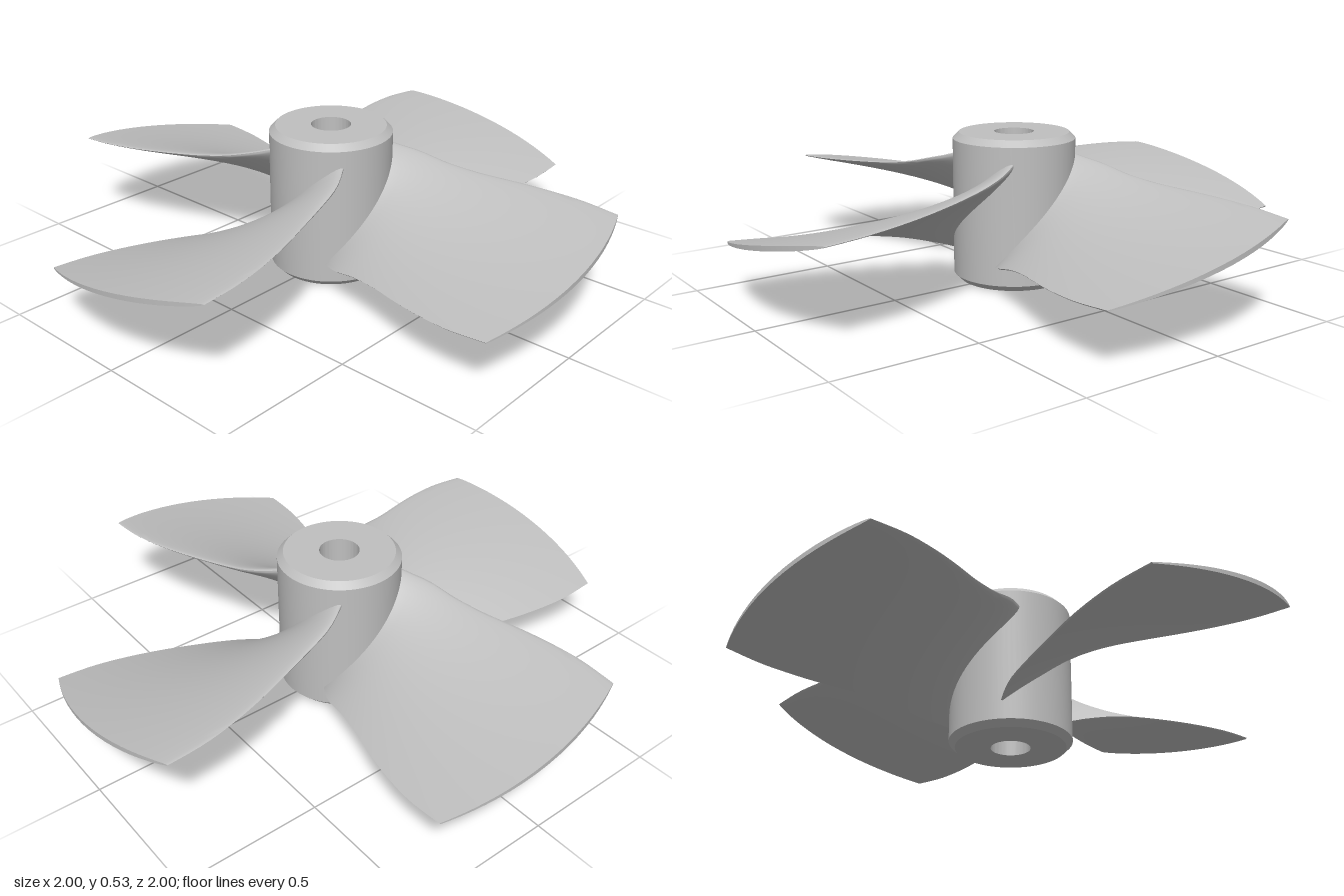
import * as THREE from 'three';
import { toCreasedNormals } from 'three/addons/utils/BufferGeometryUtils.js';

const HEIGHT = 0.53, PITCH = 0.195;
const lerp = THREE.MathUtils.lerp;

// half width of the blade at a number of radii
const widths = [[0.19, 0.158], [0.31, 0.222], [0.42, 0.254], [0.53, 0.286], [0.645, 0.322],
  [0.76, 0.351], [0.88, 0.37], [1, 0.37]];

// point on the helical blade: u from -1 (low thin edge) to 1 (high round edge), side is 1 or -1
function bladePoint(r, halfWidth, u, side) {
  const k = (r - 0.19) / 0.81;
  const s = (1 - u) / 2;
  const foil = 1.4845 * Math.sqrt(s) - 0.63 * s - 1.758 * s ** 2 + 1.4215 * s ** 3 - 0.5075 * s ** 4;
  const t = side * (foil * lerp(0.055, 0.016, Math.sqrt(k)) + 0.002 * s);
  const angle = u * Math.asin(halfWidth / r);
  const slope = Math.hypot(r, PITCH);
  const a = angle - t * PITCH / (slope * r);
  return [r * Math.sin(a), HEIGHT / 2 + 0.003 + PITCH * angle + t * r / slope, r * Math.cos(a)];
}

function buildGeometry(positions, index) {
  const geometry = new THREE.BufferGeometry();
  geometry.setAttribute('position', new THREE.Float32BufferAttribute(positions, 3));
  geometry.setIndex(index);
  return toCreasedNormals(geometry, 0.8);
}

function bladeGeometry() {
  const n = 24, stations = 25, row = 2 * n;
  const curve = new THREE.SplineCurve(widths.map(([r, w]) => new THREE.Vector2(r, w)));
  const pos = [], index = [];
  for (let j = 0; j < stations; j++) {
    const p = curve.getPoint(j / (stations - 1));
    // upper face out to the round edge, lower face back to the thin edge
    for (let i = 0; i < row; i++) {
      const side = i <= n ? 1 : -1;
      const u = -Math.cos(Math.PI * (side > 0 ? i : row - i) / n);
      pos.push(...bladePoint(p.x, p.y, u, side));
    }
  }
  for (let j = 0; j < stations - 1; j++) {
    for (let i = 0; i < row; i++) {
      const a = j * row + i, b = j * row + (i + 1) % row;
      index.push(a, a + row, b, b, a + row, b + row);
    }
  }
  // tip face
  const tip = (stations - 1) * row;
  for (let i = 0; i < n; i++) {
    const a = tip + i, b = a + 1;
    const c = tip + (row - i) % row, d = tip + row - i - 1;
    index.push(c, d, a, a, d, b);
  }
  return buildGeometry(pos, index);
}

export function createModel() {
  const model = new THREE.Group();
  model.name = 'propeller';
  const metal = new THREE.MeshStandardMaterial({ color: 0xbfbfbf });
  metal.name = 'light grey metal';

  // hub with chamfered rims and a through bore
  const profile = [[0.07, 0], [0.195, 0], [0.217, 0.022], [0.217, HEIGHT - 0.022],
    [0.195, HEIGHT], [0.07, HEIGHT], [0.07, 0]].map(([x, y]) => new THREE.Vector2(x, y));
  const hub = new THREE.Mesh(toCreasedNormals(new THREE.LatheGeometry(profile, 72), 0.5), metal);
  hub.name = 'hub';
  model.add(hub);

  // four twisted blades
  const geometry = bladeGeometry();
  ['frontBlade', 'leftBlade', 'backBlade', 'rightBlade'].forEach((name, i) => {
    const blade = new THREE.Mesh(geometry, metal);
    blade.name = name;
    blade.rotation.y = i * Math.PI / 2;
    model.add(blade);
  });
  return model;
}
